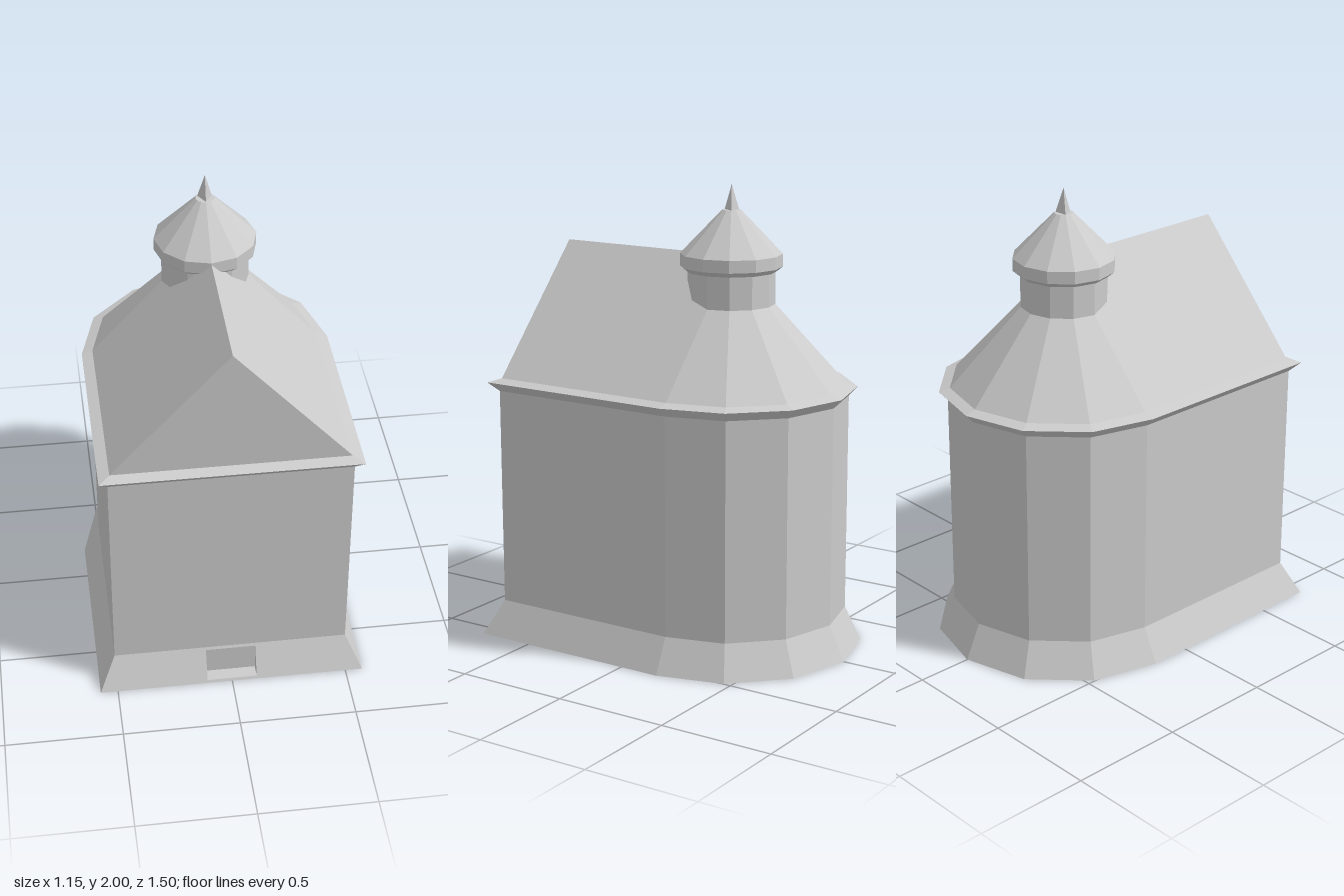
import * as THREE from 'three';

const APSE_Z = -0.18;
const grey = new THREE.MeshStandardMaterial({ color: 0xcccccc, flatShading: true, side: THREE.DoubleSide });

// Footprint: straight sides with a six-sided half-round apse, counterclockwise from above
function ring(r, front, y) {
  const pts = [[r, y, front]];
  for (let i = 0; i <= 6; i++) {
    const a = (i * Math.PI) / 6;
    pts.push([r * Math.cos(a), y, APSE_Z - r * Math.sin(a)]);
  }
  pts.push([-r, y, front]);
  return pts;
}

// Mesh from flat polygons (each fanned into triangles)
function polyMesh(name, faces) {
  const pos = [];
  for (const f of faces)
    for (let i = 1; i < f.length - 1; i++) pos.push(...f[0], ...f[i], ...f[i + 1]);
  const g = new THREE.BufferGeometry();
  g.setAttribute('position', new THREE.Float32BufferAttribute(pos, 3));
  g.computeVertexNormals();
  const m = new THREE.Mesh(g, grey);
  m.name = name;
  return m;
}

// Quads between two rings; the last one is the front side
function band(lo, hi) {
  return lo.map((p, i) => {
    const j = (i + 1) % lo.length;
    return [p, lo[j], hi[j], hi[i]];
  });
}

export function createModel() {
  const model = new THREE.Group();
  model.name = 'chapel';

  const base = ring(0.575, 0.75, 0);
  const wallLow = ring(0.505, 0.682, 0.15);
  const wallTop = ring(0.505, 0.682, 1.1);
  const lip = ring(0.542, 0.72, 1.14);
  const eave = ring(0.495, 0.677, 1.155);

  // Flared plinth, its front left open for the doorway
  const plinth = band(base, wallLow).slice(0, -1);
  const slopeZ = (y) => 0.75 - (0.068 * y) / 0.15;
  const slopeX = (y) => 0.575 - (0.07 * y) / 0.15;
  const w = 0.108, y0 = 0.012, y1 = 0.138;
  const strip = (xa, xb, ya, yb) => [
    [xa(ya), ya, slopeZ(ya)], [xb(ya), ya, slopeZ(ya)],
    [xb(yb), yb, slopeZ(yb)], [xa(yb), yb, slopeZ(yb)]];
  plinth.push(
    strip((y) => -slopeX(y), () => -w, 0, 0.15),
    strip(() => w, slopeX, 0, 0.15),
    strip(() => -w, () => w, 0, y0),
    strip(() => -w, () => w, y1, 0.15));
  model.add(polyMesh('plinth', plinth));

  // Doorway recess: back, threshold and two cheeks
  const zi = slopeZ(y1), zo = slopeZ(y0);
  model.add(polyMesh('doorRecess', [
    [[-w, y0, zi], [w, y0, zi], [w, y1, zi], [-w, y1, zi]],
    [[-w, y0, zo], [w, y0, zo], [w, y0, zi], [-w, y0, zi]],
    [[-w, y0, zo], [-w, y0, zi], [-w, y1, zi]],
    [[w, y0, zi], [w, y0, zo], [w, y1, zi]]]));

  model.add(polyMesh('walls', band(wallLow, wallTop)));
  model.add(polyMesh('cornice', [...band(wallTop, lip), ...band(lip, eave)]));

  // Gabled roof ending in a faceted half cone over the apse
  const ridgeFront = [0, 1.7, 0.677], ridgeBack = [0, 1.7, APSE_Z];
  const roof = [
    [eave[0], eave[1], ridgeBack, ridgeFront],
    [eave[7], eave[8], ridgeFront, ridgeBack],
    [eave[8], eave[0], ridgeFront]];
  for (let i = 1; i < 7; i++) roof.push([eave[i], eave[i + 1], ridgeBack]);
  model.add(polyMesh('roof', roof));

  // Twelve-sided turret with a flared rim and conical cap
  const profile = [[0.187, 1.45], [0.187, 1.635], [0.195, 1.635], [0.218, 1.655],
    [0.218, 1.708], [0.04, 1.893], [0, 1.893]].map(([r, y]) => new THREE.Vector2(r, y));
  const turret = new THREE.Mesh(new THREE.LatheGeometry(profile, 12), grey);
  turret.name = 'turret';
  turret.position.z = APSE_Z;
  model.add(turret);

  // Three-sided spike
  const spike = new THREE.Mesh(new THREE.ConeGeometry(0.036, 0.11, 3), grey);
  spike.name = 'spike';
  spike.position.set(0, 1.945, APSE_Z);
  model.add(spike);

  return model;
}
